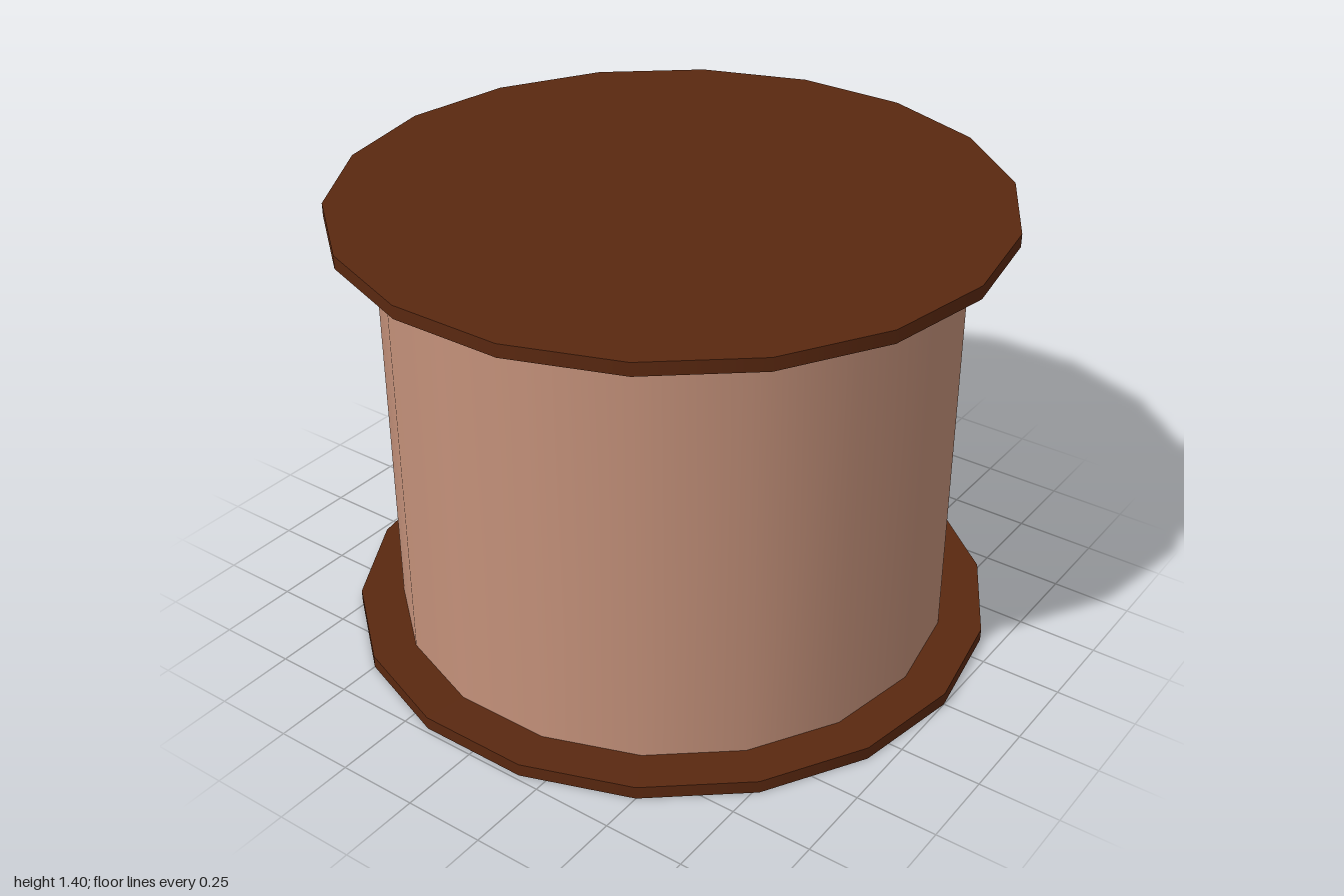
import * as THREE from 'three';

const SIDES = 18;

export function createModel() {
  const group = new THREE.Group();
  const darkWood = new THREE.MeshStandardMaterial({ color: 0x5a2810 });
  const paleWood = new THREE.MeshStandardMaterial({ color: 0xc4917a });

  // Upright 18-sided drum with a corner on the x axis
  function addDrum(name, radius, bottom, top, material, open = false) {
    const geometry = new THREE.CylinderGeometry(radius, radius, top - bottom, SIDES, 1, open, Math.PI / 2);
    const mesh = new THREE.Mesh(geometry, material);
    mesh.name = name;
    mesh.position.y = (bottom + top) / 2;
    group.add(mesh);
  }

  // Thin end discs with the smooth core between them
  addDrum('bottomDisc', 1, 0, 0.04, darkWood);
  addDrum('core', 0.865, 0.04, 1.36, paleWood, true);
  addDrum('topDisc', 1, 1.36, 1.4, darkWood);

  return group;
}
